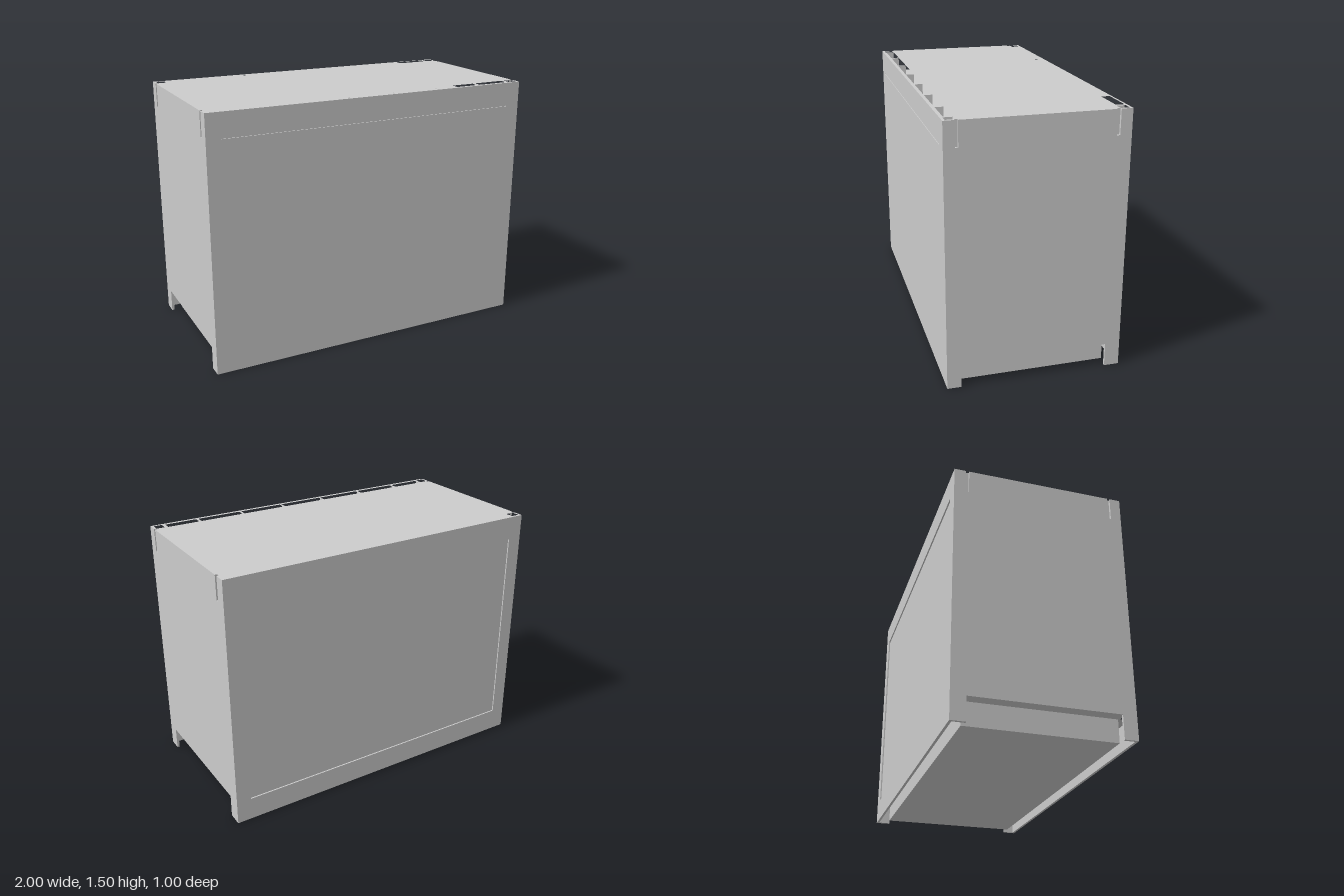
import * as THREE from 'three';

const material = new THREE.MeshStandardMaterial({ color: 0xcccccc, flatShading: true });
const W = 1, D = 0.5, H = 1.5;   // half width, half depth, height
const SKIN = 0.015;              // outer sheet thickness
const LOW = 0.137, HIGH = 1.36;  // ends of the plain middle section

// Closed plan path from [x, z] points
const trace = (path, pts) => {
  path.setFromPoints(pts.map(([x, z]) => new THREE.Vector2(x, -z)));
  path.closePath();
  return path;
};
const rect = (x0, x1, z0, z1) => [[x0, z0], [x1, z0], [x1, z1], [x0, z1]];

// Horizontal slab with vertical holes
function slab(name, y0, y1, outline, holes) {
  const shape = trace(new THREE.Shape(), outline);
  shape.holes = holes.map((h) => trace(new THREE.Path(), h));
  const geo = new THREE.ExtrudeGeometry(shape, { depth: y1 - y0, bevelEnabled: false });
  geo.rotateX(-Math.PI / 2).translate(0, y0, 0);
  const mesh = new THREE.Mesh(geo, material);
  mesh.name = name;
  return mesh;
}

function box(name, x0, x1, y0, y1, z0, z1) {
  const mesh = new THREE.Mesh(new THREE.BoxGeometry(x1 - x0, y1 - y0, z1 - z0), material);
  mesh.position.set((x0 + x1) / 2, (y0 + y1) / 2, (z0 + z1) / 2);
  mesh.name = name;
  return mesh;
}

export function createModel() {
  const group = new THREE.Group();
  group.name = 'panelledCabinet';

  // Square shafts running through the four corners
  const shafts = [];
  for (const sx of [-1, 1]) for (const sz of [-1, 1]) {
    const xs = [0.935 * sx, 0.985 * sx].sort((a, b) => a - b);
    const zs = [0.435 * sz, 0.485 * sz].sort((a, b) => a - b);
    shafts.push(rect(...xs, ...zs));
  }

  // Main body: the back face carries a shallow sunken panel
  const P = 0.913, R = 0.008;
  const backRecess = [[-W, -D], [-P, -D], [-P, -D + R], [P, -D + R], [P, -D], [W, -D]];
  group.add(slab('body', LOW, HIGH - 0.005, [...backRecess, [W, D], [-W, D]], shafts));

  // Fine seam across the top of the front face
  const frontSeam = [[W, D], [P, D], [P, D - 0.006], [-P, D - 0.006], [-P, D], [-W, D]];
  group.add(slab('seamBand', HIGH - 0.005, HIGH, [...backRecess, ...frontSeam], shafts));

  // Top band: side slots in the outline, pockets along front and back
  const side = [[-0.435, -0.415], [0.422, 0.438]].flatMap(([a, b]) =>
    [[W, a], [W - SKIN, a], [W - SKIN, b], [W, b]]);
  const outline = [[-W, -D], [W, -D], ...side, [W, D], [-W, D],
    ...side.map(([x, z]) => [-x, z]).reverse()];
  const pockets = [[-0.92, -0.72], [-0.705, -0.44], [-0.425, -0.15], [-0.14, 0.135],
    [0.15, 0.42], [0.435, 0.705], [0.72, 0.915]].map(([a, b]) => rect(a, b, 0.43, 0.48));
  pockets.push(rect(0.72, 0.915, -0.488, -0.44), rect(-0.424, -0.418, -0.488, -0.44));
  group.add(slab('topBand', HIGH, H, outline, [...shafts, ...pockets]));

  // Base: inner floor block surrounded by an open channel
  group.add(box('floorBlock', -0.93, 0.93, 0.005, LOW, -0.425, 0.425));

  // Skirt sheets, cut away along both sides
  for (const s of [-1, 1]) {
    const [z0, z1] = s > 0 ? [D - SKIN, D] : [-D, -D + SKIN];
    group.add(box(s > 0 ? 'frontSkirt' : 'backSkirt', -W, W, 0, LOW, z0, z1));
    for (const t of [-1, 1]) {
      const [x0, x1] = t > 0 ? [W - SKIN, W] : [-W, -W + SKIN];
      const [c0, c1] = s > 0 ? [0.42, D - SKIN] : [-D + SKIN, -0.415];
      group.add(box(t > 0 ? 'leftCornerSkirt' : 'rightCornerSkirt', x0, x1, 0, LOW, c0, c1));
    }
  }
  return group;
}
